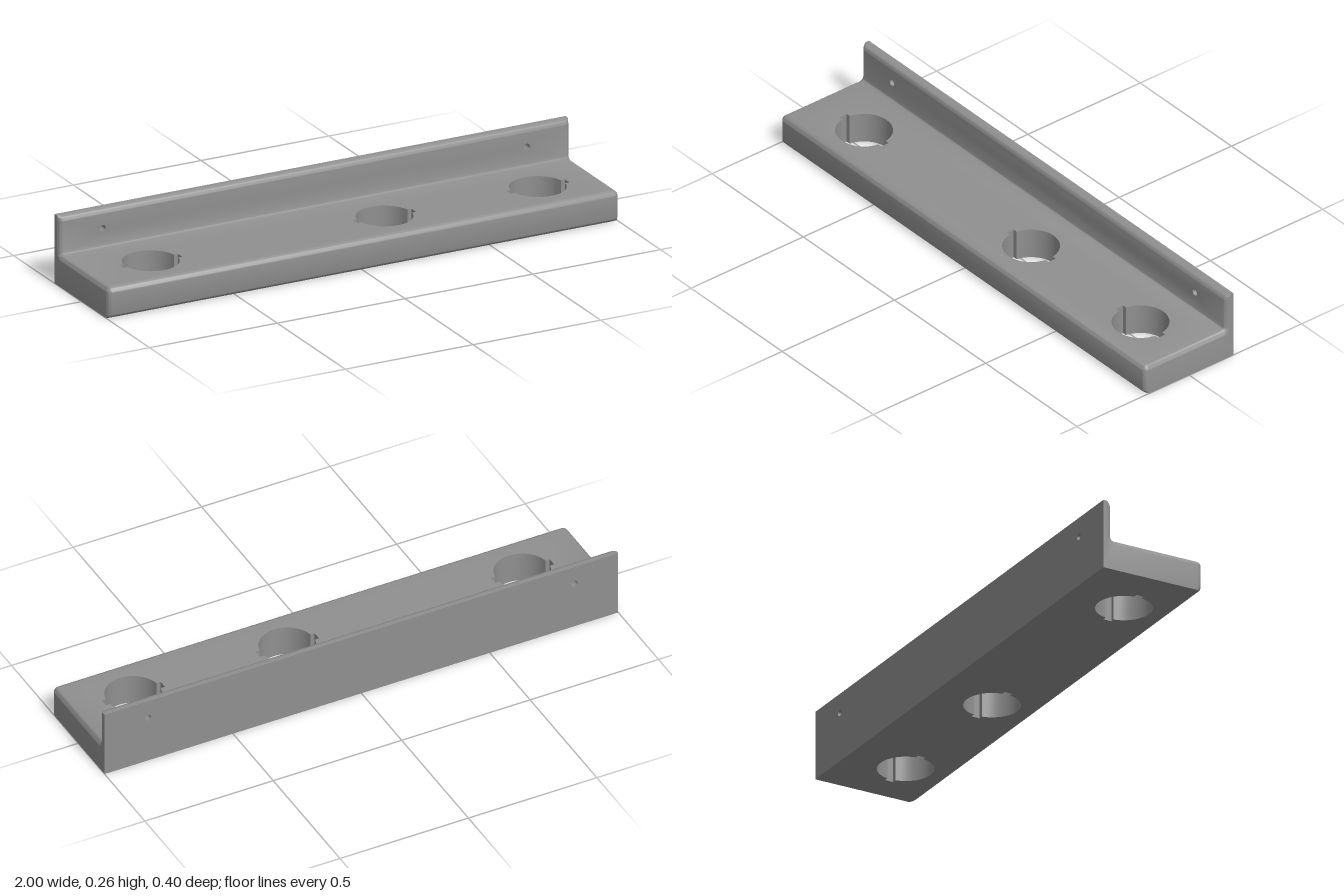
import * as THREE from 'three';
import { mergeGeometries, toCreasedNormals } from 'three/addons/utils/BufferGeometryUtils.js';

const HALF = 1, DEPTH = 0.198;       // half length, half depth
const SHELF = 0.115, TOP = 0.257;    // shelf height, total height
const WALL = -0.163;                 // front of the back plate
const R = 0.02, RI = 0.012;          // outer fillet, inner fillet
const N = 6;                         // steps per fillet
const HOLE_Z = 0.03;

// Cross-section as [z, y], with the exposed edges drawn in by d
function section(d) {
  const pts = [[-DEPTH, 0]];
  const arc = (z, y, rz, ry, a0, a1) => {
    for (let i = 0; i <= N; i++) {
      const a = (a0 + (a1 - a0) * i / N) * Math.PI / 2;
      pts.push([z + rz * Math.cos(a), y + ry * Math.sin(a)]);
    }
  };
  arc(DEPTH - R, R, R - d, R, -1, 0);                     // front lower edge
  arc(DEPTH - R, SHELF - R, R - d, R - d, 0, 1);          // front upper edge
  arc(WALL + RI, SHELF + RI, RI + d, RI + d, 3, 2);       // inner corner
  arc(WALL - R, TOP - R, R - d, R, 0, 1);                 // plate top edge
  pts.push([-DEPTH, TOP]);
  return pts;
}

// Outline of a round hole with a keyway on both sides
function keyedOutline(cx, cy, r, reach, half) {
  const pts = [], a0 = Math.asin(half / r);
  for (const s of [1, -1]) {
    pts.push([cx + s * reach, cy - s * half], [cx + s * reach, cy + s * half]);
    for (let i = 0; i <= 24; i++) {
      const a = a0 + (Math.PI - 2 * a0) * i / 24;
      pts.push([cx + s * r * Math.cos(a), cy + s * r * Math.sin(a)]);
    }
  }
  return pts;
}

function circleOutline(cx, cy, r) {
  return Array.from({ length: 20 }, (_, i) => {
    const a = i / 20 * Math.PI * 2;
    return [cx + r * Math.cos(a), cy + r * Math.sin(a)];
  });
}

function fromPositions(pos) {
  const g = new THREE.BufferGeometry();
  g.setAttribute('position', new THREE.Float32BufferAttribute(pos, 3));
  return g;
}

// Closed band of quads between two rows of points
function band(A, B, skip = []) {
  const pos = [];
  for (let i = 0; i < A.length; i++) {
    if (skip.includes(i)) continue;
    const j = (i + 1) % A.length;
    pos.push(...A[i], ...A[j], ...B[j], ...A[i], ...B[j], ...B[i]);
  }
  return fromPositions(pos);
}

// Flat rectangle with holes, in the xy plane
function panel(v0, v1, holes) {
  const w = HALF - R, vec = ([x, y]) => new THREE.Vector2(x, y);
  const shape = new THREE.Shape([[-w, v0], [w, v0], [w, v1], [-w, v1]].map(vec));
  for (const h of holes) shape.holes.push(new THREE.Path(h.map(vec)));
  const g = new THREE.ShapeGeometry(shape).toNonIndexed();
  g.deleteAttribute('uv');
  g.deleteAttribute('normal');
  return g;
}

function endCap(pts, x) {
  const faces = THREE.ShapeUtils.triangulateShape(pts.map(([z, y]) => new THREE.Vector2(z, y)), []);
  const pos = [];
  for (const f of faces) {
    for (const k of x < 0 ? f : [...f].reverse()) pos.push(x, pts[k][1], pts[k][0]);
  }
  return fromPositions(pos);
}

export function createModel() {
  const group = new THREE.Group();
  group.name = 'wallHolder';
  const grey = new THREE.MeshStandardMaterial({ color: 0x909090 });
  grey.name = 'grey';
  const add = (name, parts) => {
    const mesh = new THREE.Mesh(toCreasedNormals(mergeGeometries(parts), 0.6), grey);
    mesh.name = name;
    group.add(mesh);
  };

  const holes = [-0.745, 0.17, 0.77].map(x => keyedOutline(x, HOLE_Z, 0.1, 0.115, 0.016));
  const bolts = [-0.83, 0.83].map(x => circleOutline(x, 0.185, 0.012));

  // L-shaped body, with rounded ends
  const stations = [];
  for (let i = 0; i <= N; i++) {
    const t = i / N * Math.PI / 2;
    stations.push({ x: HALF - R + R * Math.sin(t), pts: section(R * (1 - Math.cos(t))) });
  }
  const rows = [...stations].reverse().map(s => ({ x: -s.x, pts: s.pts })).concat(stations)
    .map(s => s.pts.map(([z, y]) => [s.x, y, z]));
  const n = N + 1;
  const flats = [0, 2 * n, 3 * n, 4 * n + 1];   // spans filled by the panels
  const body = [];
  for (let i = 0; i + 1 < rows.length; i++) {
    body.push(band(rows[i + 1], rows[i], i === N ? flats : []));
  }
  const last = stations[N].pts;
  body.push(endCap(last, HALF), endCap(last, -HALF));

  // Drilled flat faces
  const flipped = holes.map(h => h.map(([x, z]) => [x, -z]));
  body.push(
    panel(-(DEPTH - R), -(WALL + RI), flipped).rotateX(-Math.PI / 2).translate(0, SHELF, 0),
    panel(-DEPTH, DEPTH - R, holes).rotateX(Math.PI / 2),
    panel(SHELF + RI, TOP - R, bolts).translate(0, 0, WALL),
    panel(0, TOP, bolts).rotateY(Math.PI).translate(0, 0, -DEPTH),
  );
  add('bracketBody', body);

  // Inner walls of the holes
  holes.forEach(h => add('keyedHole', [
    band(h.map(([x, z]) => [x, 0, z]), h.map(([x, z]) => [x, SHELF, z]))]));
  bolts.forEach(b => add('screwHole', [
    band(b.map(([x, y]) => [x, y, WALL]), b.map(([x, y]) => [x, y, -DEPTH]))]));

  return group;
}
